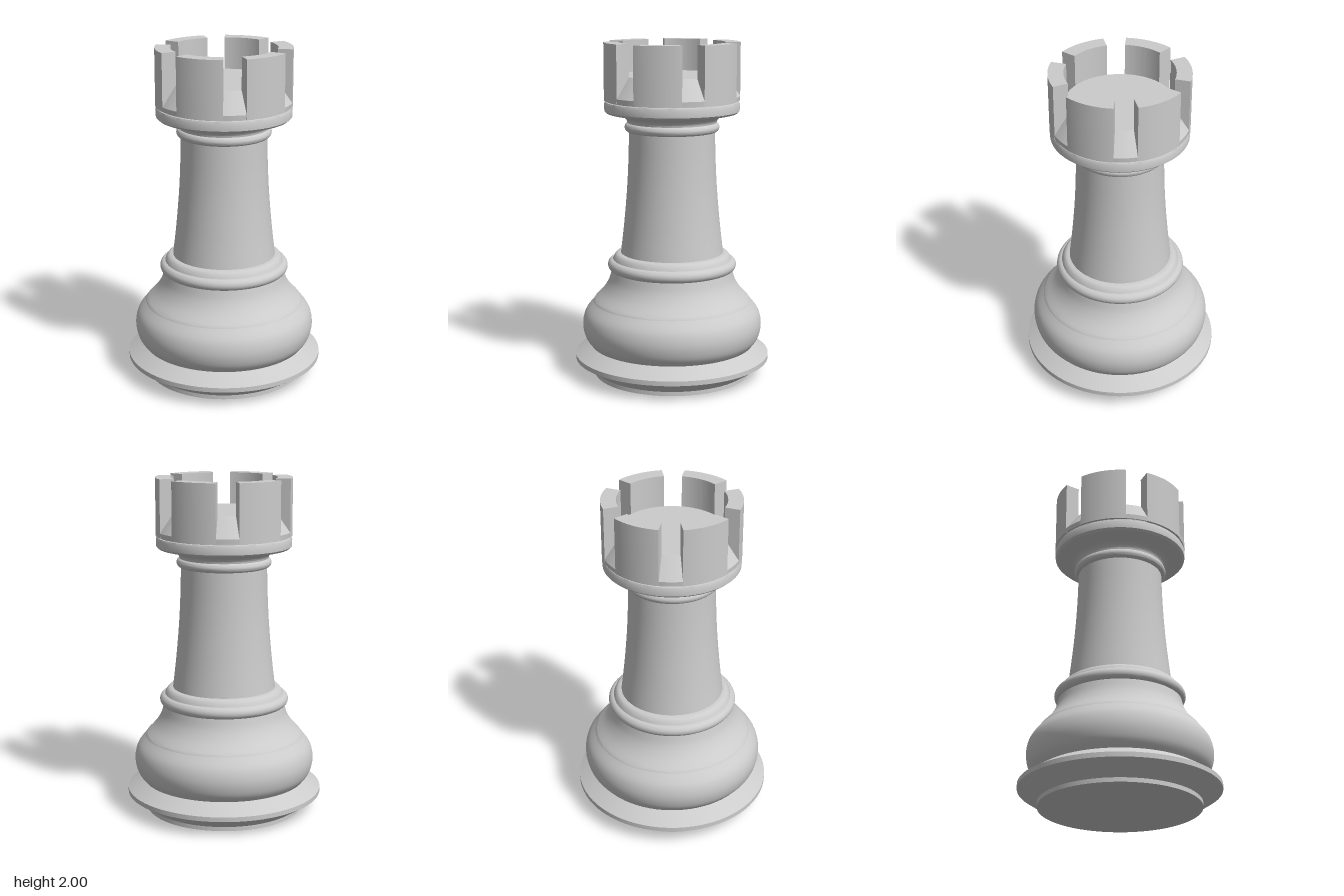
import * as THREE from 'three';
import { toCreasedNormals } from 'three/addons/utils/BufferGeometryUtils.js';

const SEGMENTS = 72;
const material = new THREE.MeshStandardMaterial({ color: 0xcccccc });

function addMesh(group, name, geometry) {
  const mesh = new THREE.Mesh(toCreasedNormals(geometry, 0.5), material);
  mesh.name = name;
  group.add(mesh);
  return mesh;
}

const points = (pairs) => pairs.map(([r, y]) => new THREE.Vector2(r, y));
const smooth = (pairs, n = 16) => new THREE.SplineCurve(points(pairs)).getPoints(n);

// Half-round bead bulging outwards between two heights
function bead(r, bottom, top, bulge) {
  const list = [];
  for (let i = 0; i <= 12; i++) {
    const a = -Math.PI / 2 + (Math.PI * i) / 12;
    list.push(new THREE.Vector2(r + bulge * Math.cos(a),
      (bottom + top) / 2 + ((top - bottom) / 2) * Math.sin(a)));
  }
  return list;
}

export function createModel() {
  const model = new THREE.Group();
  model.name = 'rook';
  const turn = (name, profile) => addMesh(model, name, new THREE.LatheGeometry(profile, SEGMENTS));

  // Turned body, from the foot upwards
  turn('foot', points([[0, 0], [0.47, 0], [0.47, 0.025], [0.585, 0.1], [0.585, 0.128], [0.49, 0.185]]));
  turn('baseBulge', smooth([[0.49, 0.185], [0.525, 0.235], [0.54, 0.31], [0.524, 0.385], [0.475, 0.45]], 20));
  turn('baseShoulder', [
    new THREE.Vector2(0.475, 0.45),
    ...smooth([[0.47, 0.46], [0.415, 0.52], [0.38, 0.58], [0.362, 0.645]]),
  ]);
  turn('lowerRing', bead(0.352, 0.64, 0.71, 0.034));
  turn('lowerCollar', smooth([[0.355, 0.71], [0.345, 0.73], [0.33, 0.745], [0.306, 0.75]], 8));
  turn('column', smooth([[0.307, 0.75], [0.287, 0.92], [0.269, 1.12], [0.259, 1.3], [0.254, 1.48]], 24));
  turn('upperRing', bead(0.254, 1.476, 1.532, 0.026));
  turn('neck', smooth([[0.264, 1.53], [0.268, 1.545], [0.285, 1.562], [0.31, 1.572]], 10));
  turn('crownLip', points([[0.31, 1.572], [0.385, 1.588], [0.398, 1.6], [0.4, 1.64],
    [0.394, 1.654], [0.386, 1.656], [0.386, 1.665], [0.398, 1.665]]));

  // Floor inside the crown
  const floor = addMesh(model, 'crownFloor', new THREE.CircleGeometry(0.312, SEGMENTS));
  floor.rotation.x = -Math.PI / 2;
  floor.position.y = 1.81;

  // Six battlements with a sloping sill in each gap
  const gap = THREE.MathUtils.degToRad(9.5);
  const half = Math.PI / 6 - gap;
  const outline = new THREE.Shape();
  outline.absarc(0, 0, 0.4, -half, half, false);
  outline.absarc(0, 0, 0.312, half, -half, true);
  const battlement = new THREE.ExtrudeGeometry(outline, { depth: 0.338, bevelEnabled: false, curveSegments: 14 });
  battlement.rotateX(-Math.PI / 2);
  const sill = new THREE.LatheGeometry(points([[0.398, 1.662], [0.4, 1.69], [0.312, 1.81]]),
    8, -gap, 2 * gap);

  for (let i = 0; i < 6; i++) {
    const block = addMesh(model, 'battlement', battlement);
    block.position.y = 1.662;
    block.rotation.y = Math.PI / 2 + (i * Math.PI) / 3;
    addMesh(model, 'gapSill', sill).rotation.y = Math.PI / 6 + (i * Math.PI) / 3;
  }
  return model;
}
